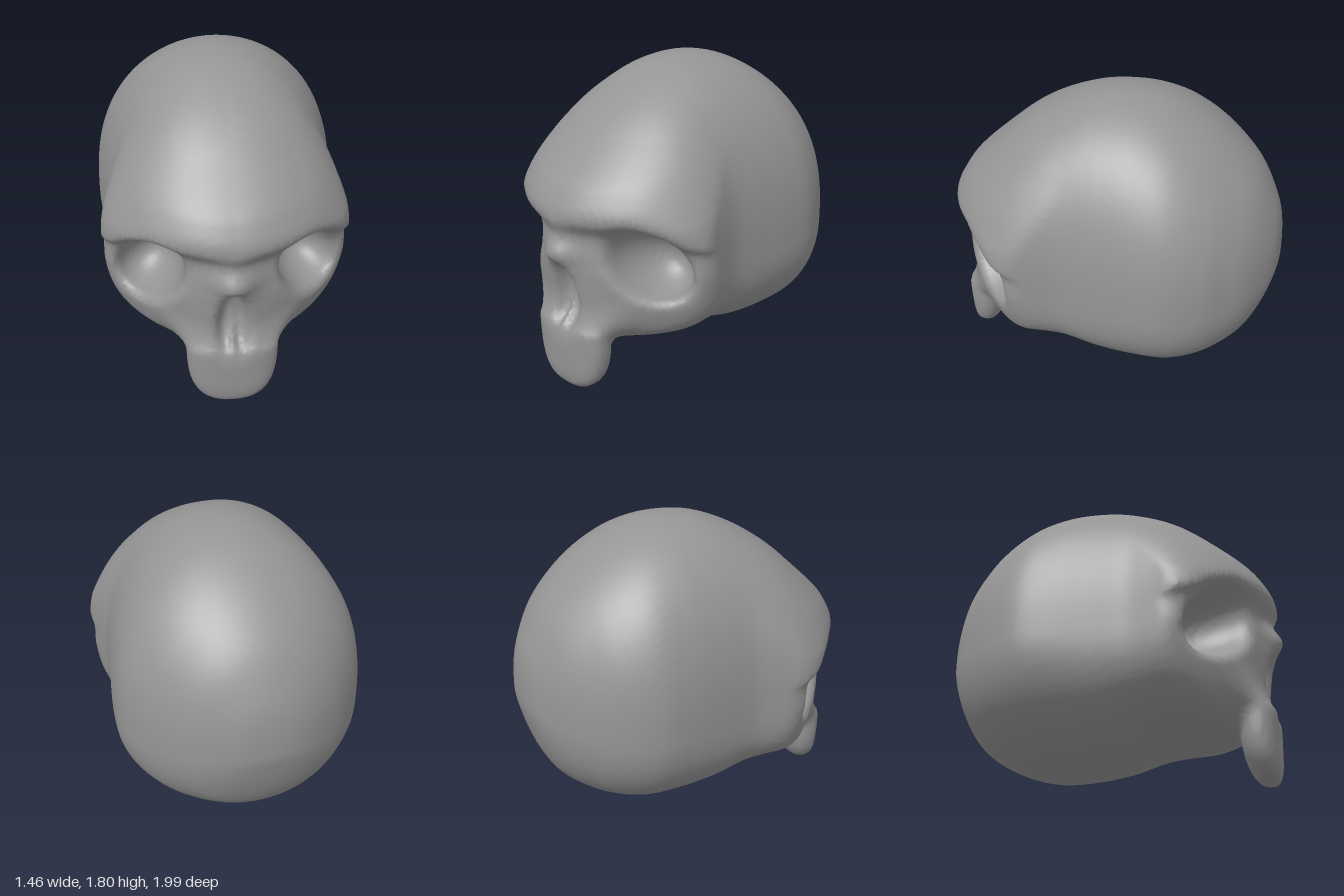
import * as THREE from 'three';

const { abs, min, max, hypot, sqrt, pow, exp } = Math;

// Smooth curve through [u, v] points (cubic Hermite, flat beyond the ends)
function curve(points, key = (u) => u) {
  const u = points.map((p) => key(p[0])), v = points.map((p) => p[1]), n = u.length;
  const slope = v.map((_, i) => {
    const a = max(i - 1, 0), b = min(i + 1, n - 1);
    return (v[b] - v[a]) / (u[b] - u[a]);
  });
  return (x) => {
    const q = key(x);
    if (q <= u[0]) return v[0];
    if (q >= u[n - 1]) return v[n - 1];
    let i = 0;
    while (q > u[i + 1]) i++;
    const d = u[i + 1] - u[i], t = (q - u[i]) / d, s = 1 - t;
    return s * s * (1 + 2 * t) * v[i] + t * t * (3 - 2 * t) * v[i + 1]
      + d * t * s * (s * slope[i] - t * slope[i + 1]);
  };
}

// Soft union and soft intersection of two solids
const join = (a, b, k) => min(a, b) - pow(max(k - abs(a - b), 0), 2) / (4 * k);
const cut = (a, b, k) => -join(-a, -b, k);
const clamp01 = (v) => min(max(v, 0), 1);
const ellipsoid = (x, y, z, rx, ry, rz) => (hypot(x / rx, y / ry, z / rz) - 1) * min(rx, ry, rz);

// Braincase cross-sections along z: half width, crown, base, widest height
const fromBack = (z) => sqrt(max(z + 1, 0));
const halfWidth = curve([[-1, 0], [-0.98, 0.17], [-0.91, 0.33], [-0.83, 0.45], [-0.73, 0.55], [-0.6, 0.65],
  [-0.4, 0.725], [-0.2, 0.72], [0, 0.69], [0.2, 0.665], [0.35, 0.685], [0.5, 0.715], [0.7, 0.72], [1, 0.72]], fromBack);
const crown = curve([[-1, 0.82], [-0.98, 1.06], [-0.92, 1.23], [-0.82, 1.4], [-0.66, 1.56], [-0.49, 1.68],
  [-0.29, 1.77], [-0.09, 1.8], [0.15, 1.775], [0.38, 1.7], [0.59, 1.57], [0.77, 1.41], [1, 1.2]], fromBack);
const base = curve([[-1, 0.82], [-0.98, 0.7], [-0.9, 0.46], [-0.82, 0.33], [-0.67, 0.22], [-0.46, 0.145],
  [-0.25, 0.135], [0, 0.17], [0.27, 0.25], [0.6, 0.28], [1, 0.29]], fromBack);
const middle = curve([[-1, 0.82], [-0.3, 0.75], [0.2, 0.8], [0.5, 0.87], [1, 0.87]], fromBack);
// The underside flattens towards the front
const baseFlatness = curve([[-1, 2], [-0.7, 2.3], [-0.25, 2.4], [0.1, 3.2], [0.5, 4], [1, 4]]);

// Midline of the face from under the cheeks up over the forehead, and the nose ridge on it
const faceFront = curve([[0, 0.62], [0.3, 0.8], [0.4, 0.89], [0.5, 0.92], [0.65, 0.92], [0.82, 0.905], [0.95, 0.905],
  [1.06, 0.975], [1.19, 0.925], [1.35, 0.805], [1.54, 0.64], [1.68, 0.47], [1.85, 0.23]]);
const noseRidge = curve([[0.58, 0], [0.68, 0.02], [0.77, 0.06], [0.85, 0.097], [0.95, 0.045], [1.06, 0]]);

function braincase(x, y, z) {
  if (z <= -0.999) return (x * x + (y - 0.82) ** 2 - 1.4 * (z + 1)) / 1.4;
  const w = halfWidth(z), m = middle(z), dy = y - m;
  const t = dy > 0 ? pow(dy / (crown(z) - m), 2.45) : pow(dy / (base(z) - m), 2) ** (baseFlatness(z) / 2);
  return (x * x + w * w * (t - 1)) / 1.4;
}

// The face sweeps back to the sides, and the brow arches down at its ends
function face(x, y, z) {
  const sweep = (0.84 + 0.6 * max(0, y - 1.05)) * x * x + max(0, 0.75 - y) * x * 0.6;
  const arch = (1.9 * max(0, x - 0.42) ** 2 - 0.02 * clamp01(x / 0.3)) * clamp01((y - 0.75) / 0.2);
  return (z - faceFront(y + arch) + sweep - noseRidge(y) * exp(-((x / 0.12) ** 2))) * 0.75;
}

// The jaw leans back into the face above the tooth line and curls forward at the tip
function upperJaw(x, y, z) {
  const dz = z - 0.84 + max(0, y - 0.38) * 0.8 - 0.5 * max(0, 0.25 - y) ** 2;
  const r = pow(x / 0.26, 2.5) + pow(abs(dz) / 0.112, 2.5) + pow(max(0.46 - y, 0) / 0.46, 4);
  return max((pow(r, 0.4) - 1) * 0.112, y - 0.7);
}

// Sockets slant outward and backward towards the cheek
function eyeSocket(x, y, z) {
  const dy = y - 0.818, dx = x - 0.475 + dy * 0.15, dz = z - 0.755 - dy * 0.5, c = 0.975, s = 0.222;
  return ellipsoid(dx * c - dz * s, dy, dx * s + dz * c, 0.212, 0.218, 0.37);
}

// Two leaning hollows merge and leave a low ridge at the bottom
function noseOpening(x, y, z) {
  const lean = 0.04 * clamp01((0.8 - y) / 0.35);
  return ellipsoid(x - lean, y - 0.58, z - 0.93, 0.062, 0.19, 0.11);
}

function skullField(px, y, z) {
  const x = abs(px);
  const browBlend = 0.09 + 0.3 * min(max(y - 1.05, 0), 0.4);
  let d = cut(braincase(x, y, z), face(x, y, z), browBlend);
  d = join(d, upperJaw(x, y, z), 0.09);
  d = cut(d, -eyeSocket(x, y, z), 0.07);
  return cut(d, -noseOpening(x, y, z), 0.05);
}

// Skin a solid: one vertex per boundary cell, one quad per crossed grid edge
function skin(field, lo, size, step) {
  const n = size.map((s) => Math.round(s / step) + 1);
  const stride = [1, n[0], n[0] * n[1]];
  const values = new Float32Array(n[0] * n[1] * n[2]);
  const cell = new Int32Array(values.length).fill(-1);
  const eachNode = (from, trim, visit) => {
    for (let k = from; k < n[2] - trim; k++)
      for (let j = from; j < n[1] - trim; j++)
        for (let i = from; i < n[0] - trim; i++) visit([i, j, k], i + j * stride[1] + k * stride[2]);
  };
  eachNode(0, 0, (p, id) => {
    values[id] = field(lo[0] + p[0] * step, lo[1] + p[1] * step, lo[2] + p[2] * step);
  });

  const positions = [], index = [];
  eachNode(0, 1, (p, id) => {
    const sum = [0, 0, 0];
    let hits = 0;
    for (let a = 0; a < 3; a++) {
      const b = (a + 1) % 3, c = (a + 2) % 3;
      for (let e = 0; e < 4; e++) {
        const ob = e & 1, oc = e >> 1;
        const start = id + ob * stride[b] + oc * stride[c];
        const v0 = values[start], v1 = values[start + stride[a]];
        if ((v0 < 0) === (v1 < 0)) continue;
        sum[a] += v0 / (v0 - v1);
        sum[b] += ob;
        sum[c] += oc;
        hits++;
      }
    }
    if (!hits) return;
    cell[id] = positions.length / 3;
    const q = sum.map((s, a) => lo[a] + (p[a] + s / hits) * step);
    // Settle the vertex onto the surface
    const h = 0.004;
    for (let pass = 0; pass < 2; pass++) {
      const f = field(...q);
      const g = q.map((_, a) => {
        const r = q.slice(), l = q.slice();
        r[a] += h;
        l[a] -= h;
        return (field(...r) - field(...l)) / (2 * h);
      });
      const gg = max(g[0] ** 2 + g[1] ** 2 + g[2] ** 2, 0.05);
      for (let a = 0; a < 3; a++) q[a] -= min(max(f * g[a] / gg, -step / 3), step / 3);
    }
    positions.push(...q);
  });

  eachNode(1, 1, (p, id) => {
    for (let a = 0; a < 3; a++) {
      const inside = values[id] < 0;
      if (inside === values[id + stride[a]] < 0) continue;
      const sb = stride[(a + 1) % 3], sc = stride[(a + 2) % 3];
      const q = [cell[id], cell[id - sb], cell[id - sb - sc], cell[id - sc]];
      if (!inside) q.reverse();
      index.push(q[0], q[1], q[2], q[0], q[2], q[3]);
    }
  });

  const geometry = new THREE.BufferGeometry();
  geometry.setAttribute('position', new THREE.Float32BufferAttribute(positions, 3));
  geometry.setIndex(index);
  geometry.computeVertexNormals();
  return geometry;
}

export function createModel() {
  const group = new THREE.Group();
  group.name = 'skullModel';
  const geometry = skin(skullField, [-0.8, -0.05, -1.075], [1.6, 1.95, 2.175], 0.025);
  const skull = new THREE.Mesh(geometry, new THREE.MeshStandardMaterial({ color: 0x959595 }));
  skull.name = 'skull';
  group.add(skull);
  return group;
}
